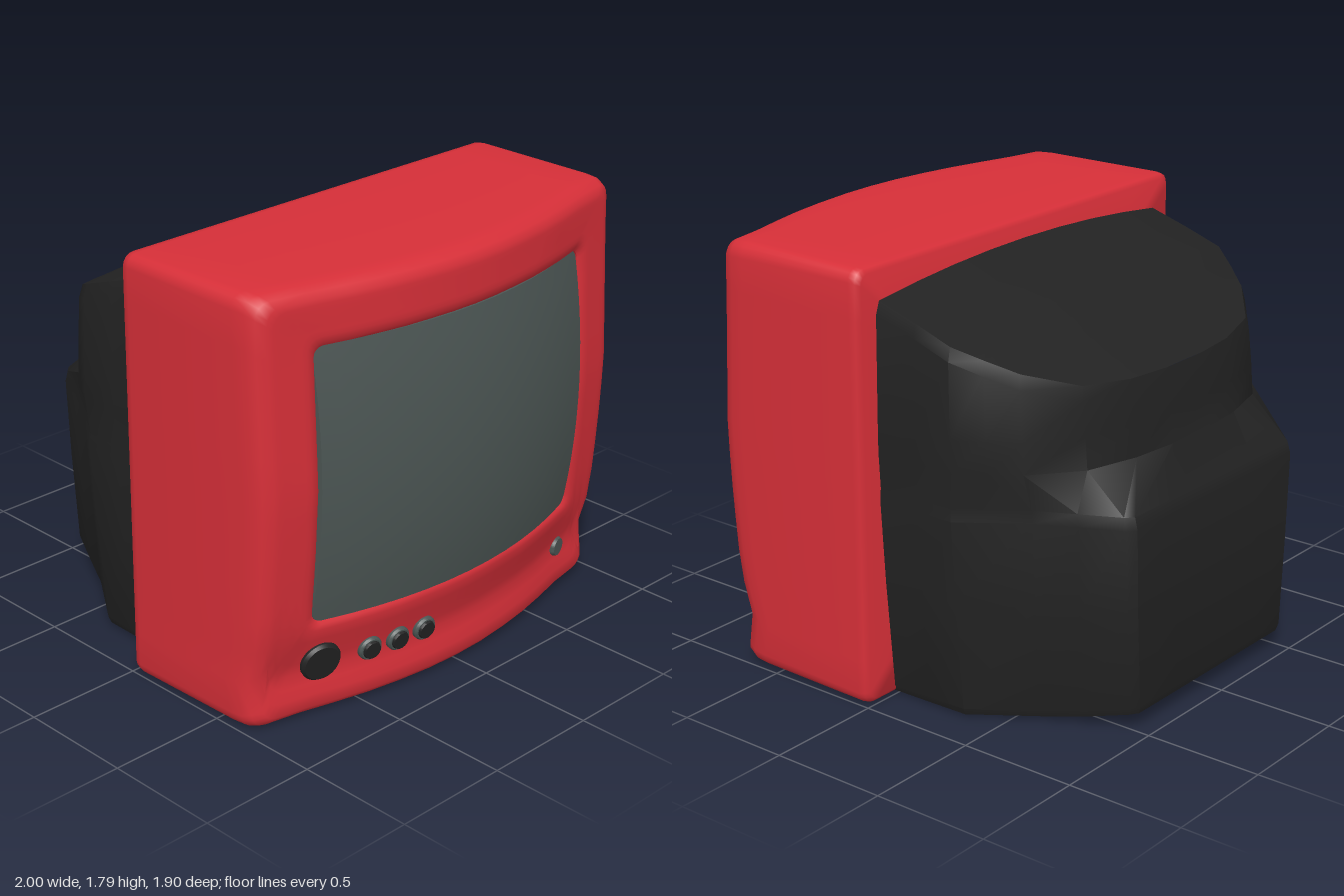
import * as THREE from 'three';
import { mergeGeometries, mergeVertices, toCreasedNormals } from 'three/addons/utils/BufferGeometryUtils.js';

const flat = (name, color) => {
  const m = new THREE.MeshStandardMaterial({ color });
  m.name = name;
  return m;
};

// Piecewise-linear lookup through [input, output] pairs
function ramp(pairs, v) {
  if (v <= pairs[0][0]) return pairs[0][1];
  for (let i = 1; i < pairs.length; i++) {
    const [a, p] = pairs[i - 1], [b, q] = pairs[i];
    if (v <= b) return p + (q - p) * (v - a) / (b - a);
  }
  return pairs[pairs.length - 1][1];
}

// Skin a list of equally long point rows
function skin(rows, closed = false) {
  const n = rows[0].length, index = [];
  for (let r = 0; r < rows.length - 1; r++) {
    for (let c = 0; c < (closed ? n : n - 1); c++) {
      const a = r * n + c, b = r * n + (c + 1) % n;
      index.push(a, b, b + n, a, b + n, a + n);
    }
  }
  const g = new THREE.BufferGeometry();
  g.setAttribute('position', new THREE.Float32BufferAttribute(rows.flat(2), 3));
  g.setIndex(index);
  return g;
}

// Rounded rectangle as [x, y] points, counterclockwise from the front
function roundedLoop(hx, y0, y1, r) {
  const K = 4, M = 12, pts = [], cy = (y0 + y1) / 2, hy = (y1 - y0) / 2;
  const corners = [[1, -1], [1, 1], [-1, 1], [-1, -1]];
  const arc = (k, j) => {
    const a = (k - 1 + j / K) * Math.PI / 2;
    return [corners[k][0] * (hx - r) + r * Math.cos(a), cy + corners[k][1] * (hy - r) + r * Math.sin(a)];
  };
  for (let k = 0; k < 4; k++) {
    for (let j = 0; j <= K; j++) pts.push(arc(k, j));
    const p = arc(k, K), q = arc((k + 1) % 4, 0);
    for (let j = 1; j < M; j++) pts.push([p[0] + (q[0] - p[0]) * j / M, p[1] + (q[1] - p[1]) * j / M]);
  }
  return pts;
}

// Bulging front of the housing
const noseLine = [[0, 0.855], [0.06, 0.86], [0.2, 0.83], [0.4, 0.89], [0.7, 0.915], [1, 0.93], [1.3, 0.915], [1.6, 0.9], [1.79, 0.895]];
const sideDrop = [[0, 0], [0.15, 0.005], [0.37, 0.03], [0.55, 0.067], [0.74, 0.12], [0.95, 0.16], [1, 0.17]];
const frontZ = (x, y) => ramp(noseLine, y) - ramp(sideDrop, Math.abs(x));

function housingGeometry() {
  const ring = (hx, y0, y1, r, z) => roundedLoop(hx, y0, y1, r).map(([x, y]) => [x, y, z(x, y)]);
  const inset = d => (x, y) => frontZ(x, y) - d;
  const rows = [
    ring(0.02, 0.88, 0.92, 0.01, () => 0.005),
    ring(0.975, 0.025, 1.765, 0.04, () => 0.005),
    ring(0.995, 0.008, 1.783, 0.05, () => 0.02),
    ring(1, 0.003, 1.787, 0.05, () => 0.05),
    ring(0.995, 0.003, 1.79, 0.06, inset(0.12)),
    ring(0.99, 0.006, 1.787, 0.06, inset(0.06)),
    ring(0.975, 0.02, 1.77, 0.06, inset(0.02)),
    ring(0.94, 0.045, 1.745, 0.06, inset(0.002)),
  ];
  for (let i = 1; i <= 7; i++) {
    const t = i / 7;
    rows.push(ring(0.94 - 0.16 * t, 0.045 + 0.345 * t, 1.745 - 0.145 * t, 0.06, inset(0)));
  }
  rows.push(ring(0.755, 0.41, 1.575, 0.05, inset(0.007)));
  rows.push(ring(0.737, 0.423, 1.557, 0.04, inset(0.02)));
  rows.push(ring(0.73, 0.43, 1.55, 0.04, inset(0.1)));
  return toCreasedNormals(skin(rows, true), 0.9);
}

// Domed glass with a short rim
function screenGeometry() {
  const z = (x, y) => 0.95 - 0.06 * ((y - 0.99) / 0.57) ** 2 - 0.14 * (x / 0.74) ** 2;
  const edge = roundedLoop(0.737, 0.423, 1.557, 0.04);
  const rows = [edge.map(([x, y]) => [x, y, z(x, y) - 0.08])];
  for (let i = 0; i <= 8; i++) {
    const s = 1 - i / 8;
    rows.push(edge.map(([x, y]) => {
      const px = x * s, py = 0.99 + (y - 0.99) * s;
      return [px, py, z(px, py)];
    }));
  }
  return toCreasedNormals(skin(rows, true), 0.8);
}

// Rear shell: wide upper hump above a narrower tapered box
function cabinetGeometry() {
  const lower = [[0.9, 0.02], [0.9, -0.18], [0.9, -0.35], [0.72, -0.6], [0.64, -0.76], [0.56, -0.92], [0.53, -0.95], [0.27, -0.95]];
  const upper = [[0.9, 0.02], [0.9, -0.18], [0.9, -0.35], [0.83, -0.46], [0.75, -0.57], [0.56, -0.72], [0.33, -0.78], [0.12, -0.8]];
  const roof = (x, z) => ramp([[-0.8, 1.34], [-0.35, 1.59], [0, 1.71]], z) - 0.06 * (x / 0.9) ** 2;
  const floor = (x, z) => ramp([[-0.95, 0.075], [-0.65, 0.02], [0, 0.008]], z);
  const half = (plan, sx, sz, y) => plan.map(([x, z]) => [x * sx, y(x * sx, z * sz), z * sz]);
  const mirrored = h => [...h, ...h.map(([x, y, z]) => [-x, y, z]).reverse()];
  const bottom = half(lower, 0.91, 0.99, floor);
  const top = half(upper, 0.975, 0.975, roof);
  const walls = [
    bottom,
    half(lower, 0.925, 1, (x, z) => floor(x, z) + 0.03),
    half(lower, 0.97, 1, () => 0.5),
    half(lower, 0.995, 1, () => 0.85),
    half(lower, 0.99, 0.985, () => 0.9),
    half(upper, 1, 1.025, () => 1.05),
    half(upper, 1, 1.01, () => 1.18),
    half(upper, 0.995, 0.99, (x, z) => roof(x, z) - 0.05),
    top,
  ];
  // Caps run across the shell from side to side
  const cap = (outline, y, dir) => skin(outline.map(([x, , z]) => Array.from({ length: 9 }, (_, i) => {
    const px = dir * x * (i / 4 - 1);
    return [px, y(px, z), z];
  })));
  const parts = [skin(walls.map(mirrored)), cap(top, roof, 1), cap(bottom, floor, -1)];
  return toCreasedNormals(mergeVertices(mergeGeometries(parts), 1e-4), 0.65);
}

// Turned knob whose axis is +z
function knobGeometry(r, h) {
  const profile = [[r, -0.04], [r, h * 0.6], [r * 0.88, h], [0, h]].map(p => new THREE.Vector2(...p));
  return toCreasedNormals(new THREE.LatheGeometry(profile, 28).rotateX(Math.PI / 2), 0.5);
}

export function createModel() {
  const red = flat('red plastic', 0xd62f38);
  const black = flat('black plastic', 0x222222);
  const grey = flat('grey glass', 0x4c5654);
  const model = new THREE.Group();
  model.name = 'television';

  const add = (name, geometry, material, parent = model) => {
    const mesh = new THREE.Mesh(geometry, material);
    mesh.name = name;
    parent.add(mesh);
    return mesh;
  };

  add('frontHousing', housingGeometry(), red);
  add('screen', screenGeometry(), grey);
  add('rearCabinet', cabinetGeometry(), black);

  // Controls sit square to the curved front
  const control = (name, x, y) => {
    const g = new THREE.Group(), e = 0.06;
    g.name = name;
    g.position.set(x, y, frontZ(x, y));
    const dx = (frontZ(x + e, y) - frontZ(x - e, y)) / (2 * e);
    const dy = (frontZ(x, y + e) - frontZ(x, y - e)) / (2 * e);
    g.quaternion.setFromUnitVectors(new THREE.Vector3(0, 0, 1), new THREE.Vector3(-dx, -dy, 1).normalize());
    model.add(g);
    return g;
  };
  add('dial', knobGeometry(0.086, 0.03), black, control('channelDial', -0.68, 0.235));
  for (const x of [-0.46, -0.328, -0.195]) {
    const g = control('smallKnob', x, 0.224);
    add('knobRim', knobGeometry(0.052, 0.024), grey, g);
    add('knobCap', knobGeometry(0.041, 0.034), black, g);
  }
  add('button', knobGeometry(0.043, 0.025), grey, control('powerButton', 0.743, 0.2));
  return model;
}
